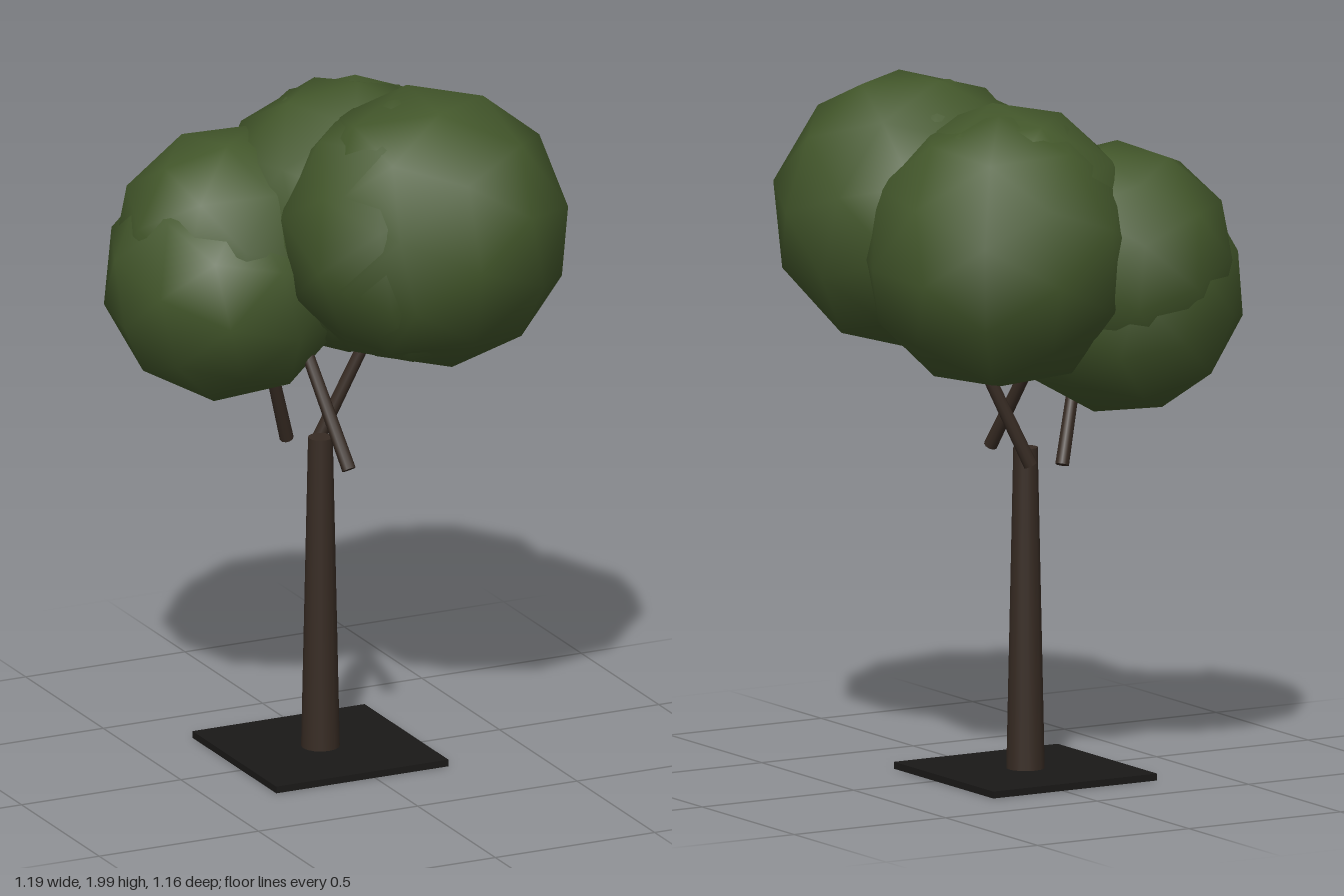
import * as THREE from 'three';

export function createModel() {
  const tree = new THREE.Group();
  tree.name = 'tree';
  const bark = new THREE.MeshStandardMaterial({ color: 0x372b23 });
  const leaf = new THREE.MeshStandardMaterial({ color: 0x43572b });
  const soil = new THREE.MeshStandardMaterial({ color: 0x1a1918 });

  const add = (name, geometry, material, x, y, z) => {
    const mesh = new THREE.Mesh(geometry, material);
    mesh.name = name;
    mesh.position.set(x, y, z);
    tree.add(mesh);
    return mesh;
  };

  // Square ground slab and tapered trunk
  add('groundSlab', new THREE.BoxGeometry(0.54, 0.02, 0.54), soil, -0.04, 0.01, -0.045);
  add('trunk', new THREE.CylinderGeometry(0.035, 0.055, 0.93, 16), bark, -0.04, 0.475, -0.045);

  // Loose branches rising into the crown, each from a lower to an upper point
  const up = new THREE.Vector3(0, 1, 0);
  const branches = [
    [[-0.055, 0.91, 0.17], [-0.11, 1.28, -0.05]],
    [[-0.085, 0.905, -0.17], [-0.18, 1.2, -0.1]],
    [[-0.005, 0.905, -0.13], [0.16, 1.28, -0.07]],
  ];
  branches.forEach(([from, to], i) => {
    const a = new THREE.Vector3(...from);
    const b = new THREE.Vector3(...to);
    const dir = b.clone().sub(a);
    const mid = a.clone().add(b).multiplyScalar(0.5);
    const geometry = new THREE.CylinderGeometry(0.017, 0.02, dir.length(), 10);
    add(`branch${i + 1}`, geometry, bark, mid.x, mid.y, mid.z)
      .quaternion.setFromUnitVectors(up, dir.normalize());
  });

  // Overlapping smooth, coarse leaf balls in pairs: centre, radius, turn
  const crowns = [
    ['frontCrown', [0.19, 1.605, 0.185], 0.405, [0.3, 0.5, 0.1]],
    ['innerFrontCrown', [0.15, 1.595, 0.165], 0.39, [0.7, 1.3, 0.3]],
    ['backCrown', [0.125, 1.54, -0.18], 0.4, [0.9, 0.2, 0.6]],
    ['innerBackCrown', [0.085, 1.565, -0.14], 0.39, [0.2, 1.1, 0.4]],
    ['sideCrown', [-0.255, 1.4, -0.21], 0.355, [0.5, 0.8, 0.2]],
    ['upperSideCrown', [-0.225, 1.485, -0.23], 0.345, [1.2, 0.3, 0.9]],
  ];
  for (const [name, centre, radius, turn] of crowns) {
    add(name, new THREE.IcosahedronGeometry(radius, 1), leaf, ...centre).rotation.set(...turn);
  }
  return tree;
}
